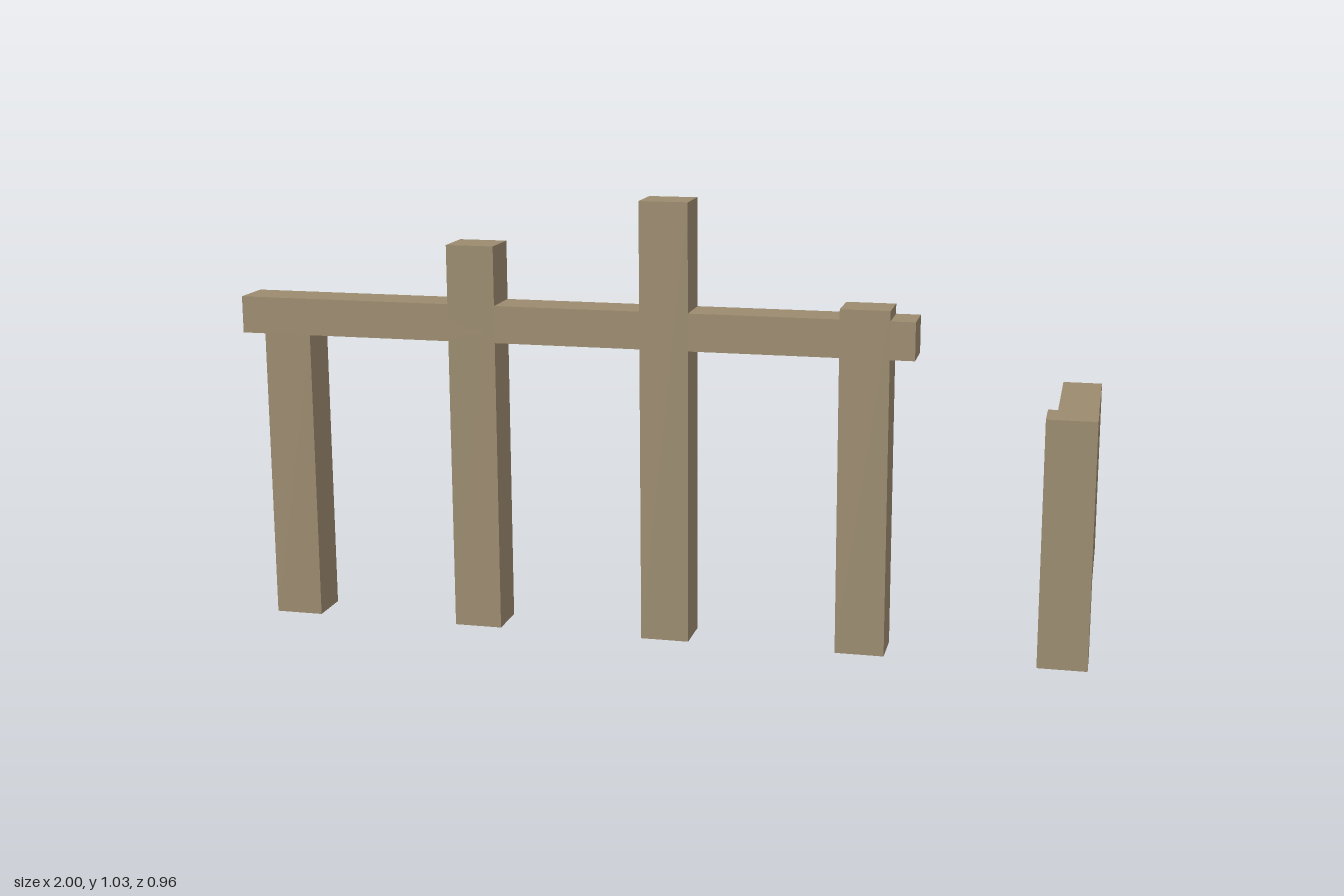
import * as THREE from 'three';

export function createModel() {
  const model = new THREE.Group();
  model.name = 'ruinedTimberFrame';
  const wood = new THREE.MeshStandardMaterial({ color: 0x9a8a6e });
  wood.name = 'weathered wood';

  // Box given by its minimum and maximum on each axis
  const addBox = (name, [x0, x1], [y0, y1], [z0, z1]) => {
    const mesh = new THREE.Mesh(new THREE.BoxGeometry(x1 - x0, y1 - y0, z1 - z0), wood);
    mesh.name = name;
    mesh.position.set((x0 + x1) / 2, (y0 + y1) / 2, (z0 + z1) / 2);
    model.add(mesh);
  };

  const frontZ = [0.381, 0.482];

  // Evenly spaced posts, broken off at different heights
  const postWidth = 0.113, spacing = 0.4575, firstX = -0.888;
  [0.69, 0.915, 1.028, 0.8, 0.573].forEach((height, i) => {
    const x = firstX + i * spacing;
    addBox(`post${i + 1}`, [x - postWidth / 2, x + postWidth / 2], [0, height], frontZ);
  });

  // Rail across the first four posts
  addBox('rail', [-1, 0.597], [0.69, 0.777], frontZ);

  // Low side wall running back from the last post
  addBox('sideWall', [0.891, 0.992], [0, 0.457], [-0.482, 0.381]);

  return model;
}
